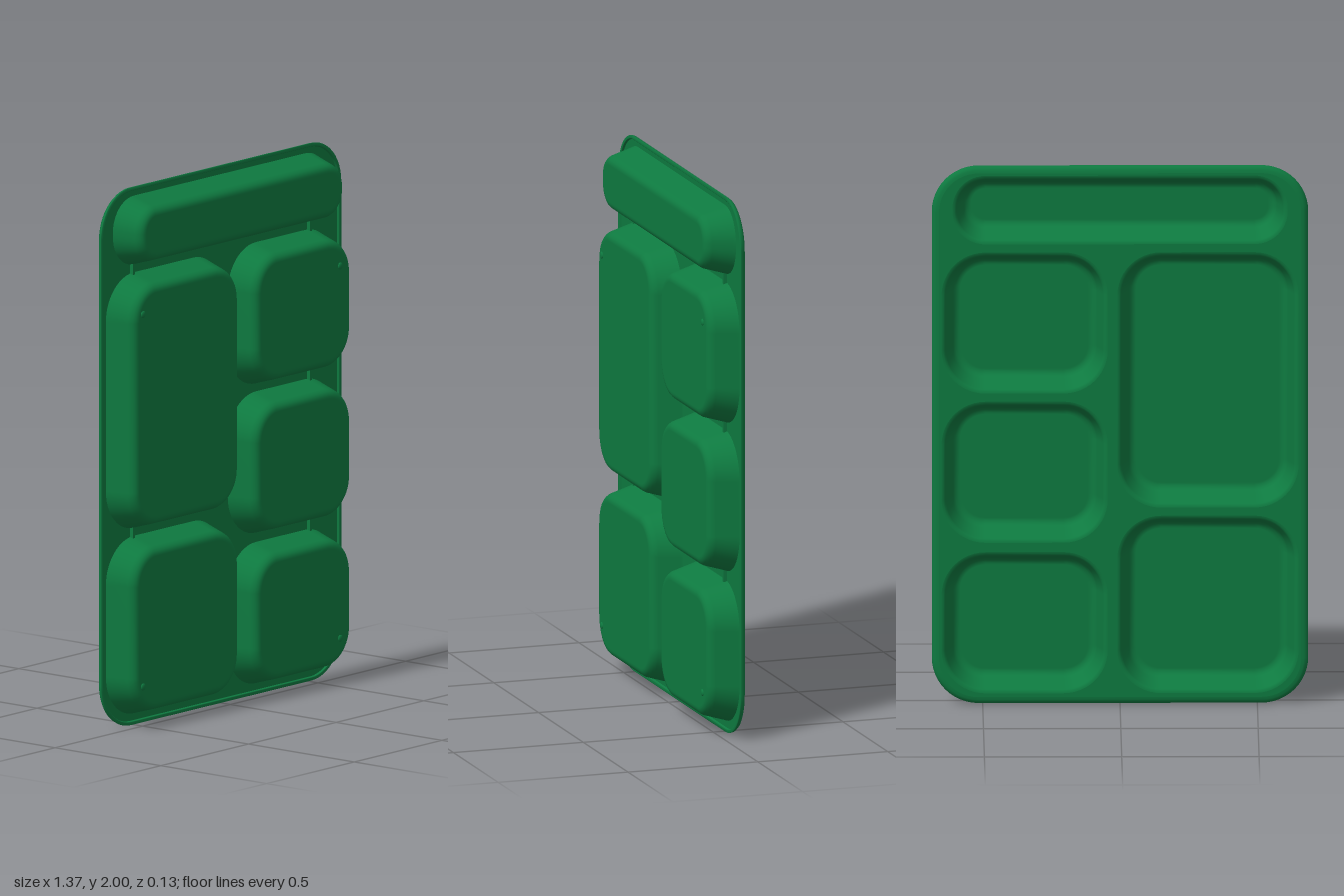
import * as THREE from 'three';

const CORNER_STEPS = 12;

// Rounded rectangle outline, counter-clockwise seen from +z
function outline([x0, y0, x1, y1, r], inset) {
  const points = [];
  const rad = Math.max(r - inset, 0.01);
  const corners = [
    [x1 - inset - rad, y0 + inset + rad, -0.5],
    [x1 - inset - rad, y1 - inset - rad, 0],
    [x0 + inset + rad, y1 - inset - rad, 0.5],
    [x0 + inset + rad, y0 + inset + rad, 1],
  ];
  for (const [cx, cy, start] of corners) {
    for (let i = 0; i <= CORNER_STEPS; i++) {
      const a = Math.PI * (start + (0.5 * i) / CORNER_STEPS);
      points.push(new THREE.Vector2(cx + rad * Math.cos(a), cy + rad * Math.sin(a)));
    }
  }
  return points;
}

function flip(geometry) {
  const index = geometry.index.array;
  for (let i = 0; i < index.length; i += 3) {
    [index[i], index[i + 1]] = [index[i + 1], index[i]];
  }
  geometry.computeVertexNormals();
  return geometry;
}

// Skin through inset outlines; profile entries are [inset, z]
function loft(rect, profile, capped) {
  const positions = [];
  const indices = [];
  const n = 4 * (CORNER_STEPS + 1);
  profile.forEach(([inset, z], ring) => {
    for (const p of outline(rect, inset)) positions.push(p.x, p.y, z);
    if (ring === 0) return;
    for (let i = 0; i < n; i++) {
      const a = (ring - 1) * n + i;
      const b = (ring - 1) * n + ((i + 1) % n);
      indices.push(a, b, b + n, a, b + n, a + n);
    }
  });
  if (capped) {
    const last = (profile.length - 1) * n;
    const centre = positions.length / 3;
    positions.push((rect[0] + rect[2]) / 2, (rect[1] + rect[3]) / 2, profile.at(-1)[1]);
    for (let i = 0; i < n; i++) indices.push(last + i, last + ((i + 1) % n), centre);
  }
  const geometry = new THREE.BufferGeometry();
  geometry.setAttribute('position', new THREE.Float32BufferAttribute(positions, 3));
  geometry.setIndex(indices);
  geometry.computeVertexNormals();
  return geometry;
}

export function createModel() {
  const tray = new THREE.Group();
  tray.name = 'compartmentTray';
  const green = new THREE.MeshStandardMaterial({ color: 0x0e7a40 });

  function add(name, geometry, x = 0, y = 0, z = 0) {
    const mesh = new THREE.Mesh(geometry, green);
    mesh.name = name;
    mesh.position.set(x, y, z);
    tray.add(mesh);
    return mesh;
  }

  // Compartments: x0, y0, x1, y1, corner radius
  const compartments = {
    topCompartment: [-0.61, 1.71, 0.61, 1.965, 0.12],
    leftMainCompartment: [-0.65, 0.73, 0.01, 1.68, 0.16],
    leftLowerCompartment: [-0.65, 0.04, 0.01, 0.7, 0.16],
    rightUpperCompartment: [0.045, 1.155, 0.65, 1.68, 0.16],
    rightMiddleCompartment: [0.045, 0.6, 0.65, 1.125, 0.16],
    rightLowerCompartment: [0.045, 0.04, 0.65, 0.565, 0.16],
  };
  const rects = Object.values(compartments);

  // Rim: rolled edge with a small lip on the underside
  const edge = [-0.685, 0, 0.685, 2, 0.17];
  add('rolledRim', loft(edge, [
    [0.026, -0.065], [0.016, -0.0635], [0.008, -0.06], [0.002, -0.053],
    [0, -0.045], [0.001, -0.042], [0.011, -0.042], [0.013, -0.043], [0.015, -0.05],
  ]));

  // Webs between the compartments, one sheet per side
  function sheet(inset) {
    const shape = new THREE.Shape(outline(edge, inset));
    shape.holes = rects.map((rect) => new THREE.Path(outline(rect, 0)));
    return new THREE.ShapeGeometry(shape);
  }
  add('undersideWeb', sheet(0.015), 0, 0, -0.05);
  add('eatingSideWeb', flip(sheet(0.026)), 0, 0, -0.065);

  // Each compartment has an outer shell and an inner basin
  const shell = [
    [0, -0.05], [0.004, -0.038], [0.025, 0.032], [0.028, 0.041], [0.034, 0.05],
    [0.042, 0.057], [0.052, 0.06], [0.06, 0.06],
  ];
  const basin = [
    [0, -0.065], [0.007, -0.0635], [0.013, -0.059], [0.017, -0.051],
    [0.038, 0.018], [0.043, 0.031], [0.051, 0.04], [0.062, 0.045], [0.07, 0.045],
  ];
  for (const [name, rect] of Object.entries(compartments)) {
    add(name + 'Shell', loft(rect, shell, true));
    add(name + 'Basin', flip(loft(rect, basin, true)));
  }

  // Small stiffening ribs bridging the gaps
  for (const [x, y] of [[-0.505, 1.695], [0.505, 1.695], [-0.505, 0.715], [0.505, 1.14], [0.505, 0.583]]) {
    add('rib', new THREE.BoxGeometry(0.012, 0.046, 0.014), x, y, -0.044);
  }
  for (const y of [1.54, 0.18]) {
    add('rib', new THREE.BoxGeometry(0.05, 0.012, 0.014), 0.0275, y, -0.044);
  }

  // Domed feet on the compartment floors
  for (const x of [-0.57, 0.555]) {
    for (const y of [0.165, 1.55]) {
      const foot = new THREE.SphereGeometry(0.013, 16, 6, 0, Math.PI * 2, 0, Math.PI / 2);
      foot.rotateX(Math.PI / 2).scale(1, 1, 0.4);
      add('foot', foot, x, y, 0.06);
    }
  }
  return tray;
}
